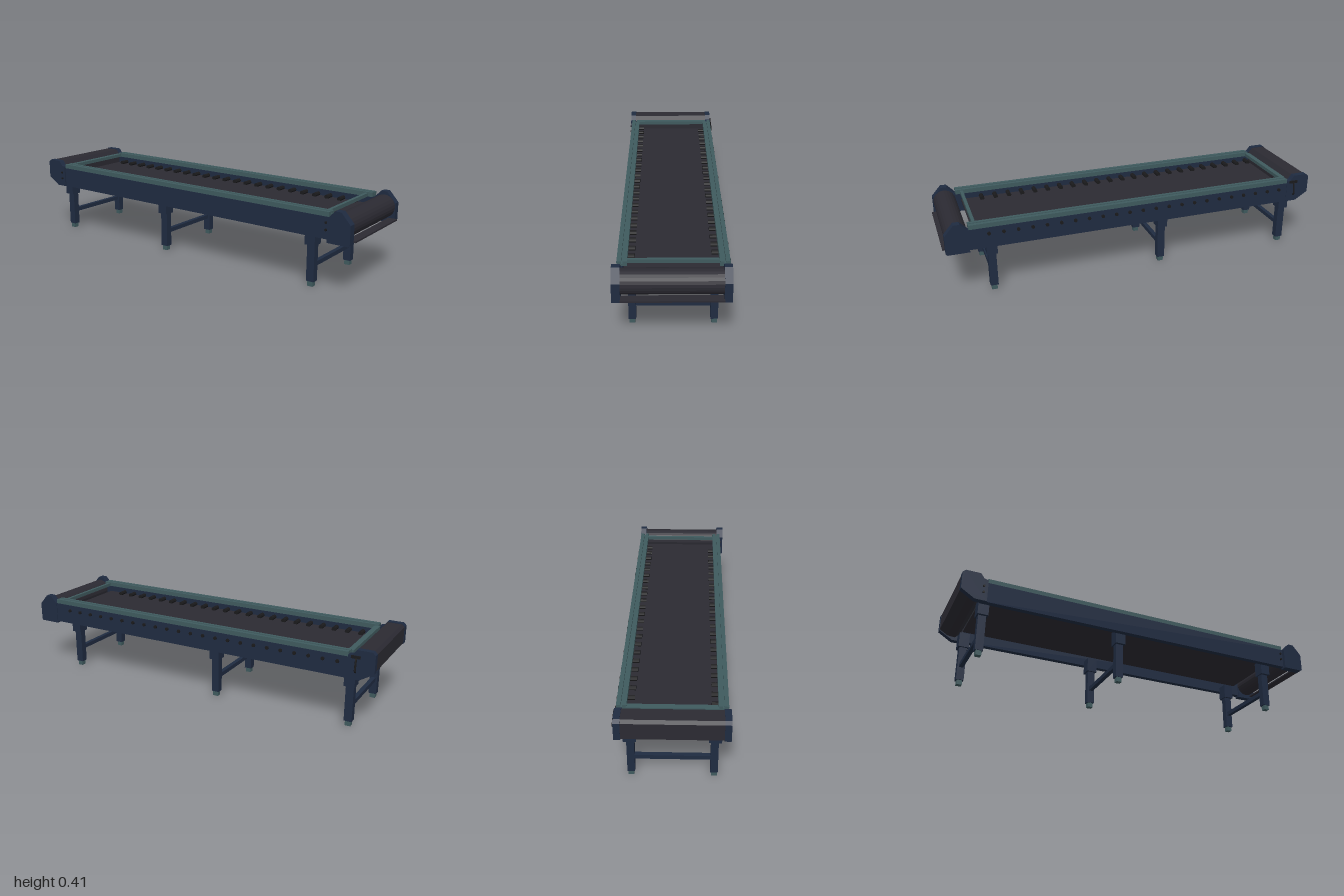
import * as THREE from 'three';

export function createModel() {
  const model = new THREE.Group();
  model.name = 'conveyor';
  const mat = (name, color) => {
    const m = new THREE.MeshStandardMaterial({ color, flatShading: true });
    m.name = name;
    return m;
  };
  const navy = mat('navy paint', 0x1f2b41);
  const rubber = mat('dark rubber', 0x2b2a32);
  const teal = mat('teal metal', 0x3f5a5e);
  const black = mat('black plastic', 0x1a1a1c);

  const add = (name, geo, material, parent = model) => {
    const mesh = new THREE.Mesh(geo, material);
    mesh.name = name;
    parent.add(mesh);
    return mesh;
  };
  // Box given by its extents on each axis
  const box = (name, [x0, x1], [y0, y1], [z0, z1], material, parent) => {
    const geo = new THREE.BoxGeometry(x1 - x0, y1 - y0, z1 - z0);
    geo.translate((x0 + x1) / 2, (y0 + y1) / 2, (z0 + z1) / 2);
    return add(name, geo, material, parent);
  };
  // Side outline in x and y, extruded from z0 to z1
  const plate = (name, points, z0, z1, material) => {
    const shape = new THREE.Shape(points.map(([x, y]) => new THREE.Vector2(x, y)));
    const geo = new THREE.ExtrudeGeometry(shape, { depth: z1 - z0, bevelEnabled: false });
    geo.translate(0, 0, z0);
    return add(name, geo, material);
  };
  // Rod lying along z
  const rod = (name, x, y, z0, z1, r, sides, material) => {
    const geo = new THREE.CylinderGeometry(r, r, z1 - z0, sides);
    geo.rotateX(Math.PI / 2);
    geo.translate(x, y, (z0 + z1) / 2);
    return add(name, geo, material);
  };
  const span = (s, a, b) => (s > 0 ? [a, b] : [-b, -a]);

  // Long side beams, each capped by a slotted rail
  for (const s of [1, -1]) {
    box('sideBeam', [-0.9, 0.88], [0.265, 0.372], span(s, 0.222, 0.25), navy);
    box('railBase', [-0.87, 0.87], [0.372, 0.384], span(s, 0.203, 0.249), teal);
    box('railInnerLip', [-0.87, 0.87], [0.384, 0.395], span(s, 0.203, 0.221), teal);
    box('railOuterLip', [-0.87, 0.87], [0.384, 0.395], span(s, 0.229, 0.249), teal);
  }
  // Cross rails at both ends of the bed
  box('endRail', [-0.88, -0.852], [0.372, 0.39], [-0.205, 0.205], teal);
  box('endRail', [0.83, 0.846], [0.372, 0.39], [-0.205, 0.205], teal);

  // Bed
  box('bed', [-0.878, 0.842], [0.323, 0.334], [-0.223, 0.223], rubber);

  // Studs along the beams: knobs over the bed, small ends outside the back beam
  for (let i = 0; i < 23; i++) {
    const x = -0.82 + i * 0.0725;
    rod('backKnob', x, 0.341, -0.223, -0.175, 0.012, 8, black);
    rod('backStudEnd', x, 0.341, -0.258, -0.249, 0.009, 8, black);
    rod('frontKnob', x - 0.04, 0.341, 0.175, 0.223, 0.012, 8, black);
  }

  // End housings
  const leftOutline = [[-1, 0.308], [-0.93, 0.265], [-0.87, 0.265], [-0.87, 0.382],
    [-0.892, 0.388], [-0.91, 0.412], [-0.985, 0.412], [-1, 0.398]];
  const rightOutline = [[0.872, 0.255], [0.98, 0.255], [0.988, 0.261], [0.988, 0.355],
    [0.94, 0.409], [0.91, 0.409], [0.872, 0.37]];
  plate('leftHousing', leftOutline, 0.228, 0.258, navy);
  plate('leftHousing', leftOutline, -0.252, -0.222, navy);
  plate('rightHousing', rightOutline, 0.23, 0.268, navy);
  plate('rightHousing', rightOutline, -0.253, -0.218, navy);

  // Left end belt turn
  plate('leftBeltTurn', [[-0.998, 0.312], [-0.955, 0.286], [-0.915, 0.283], [-0.888, 0.31],
    [-0.888, 0.382], [-0.91, 0.409], [-0.984, 0.409], [-0.998, 0.396]], -0.224, 0.23, rubber);

  // Right end drum and its lower guide plate
  rod('rightDrum', 0.928, 0.334, -0.22, 0.232, 0.058, 24, rubber);
  box('guidePlate', [0.955, 1], [0.269, 0.277], [-0.22, 0.232], rubber);

  // Bolts on the housings
  for (const y of [0.31, 0.345]) {
    rod('housingBolt', -0.89, y, 0.25, 0.264, 0.006, 8, black);
    rod('beamBolt', 0.858, y, 0.245, 0.257, 0.006, 8, black);
  }

  // Pull handle on the back
  const handlePath = new THREE.CurvePath();
  const corners = [[-0.91, 0.378, -0.252], [-0.91, 0.362, -0.257], [-0.91, 0.31, -0.264],
    [-0.91, 0.304, -0.258]].map((p) => new THREE.Vector3(...p));
  for (let i = 1; i < corners.length; i++) {
    handlePath.add(new THREE.LineCurve3(corners[i - 1], corners[i]));
  }
  add('pullHandle', new THREE.TubeGeometry(handlePath, 16, 0.005, 6), black);
  box('handleMount', [-0.93, -0.885], [0.37, 0.384], [-0.258, -0.25], black);

  // Three leg frames
  for (const x of [-0.875, -0.145, 0.762]) {
    const frame = new THREE.Group();
    frame.name = 'legFrame';
    frame.position.x = x;
    model.add(frame);
    for (const s of [1, -1]) {
      box('legBracket', [-0.027, 0.027], [0.21, 0.29], span(s, 0.164, 0.223), navy, frame);
      box('leg', [-0.02, 0.02], [0.025, 0.212], span(s, 0.174, 0.209), navy, frame);
      box('foot', [-0.014, 0.014], [0, 0.026], span(s, 0.179, 0.206), teal, frame);
    }
    box('legCrossbar', [-0.011, 0.011], [0.095, 0.117], [-0.175, 0.175], navy, frame);
  }
  return model;
}
